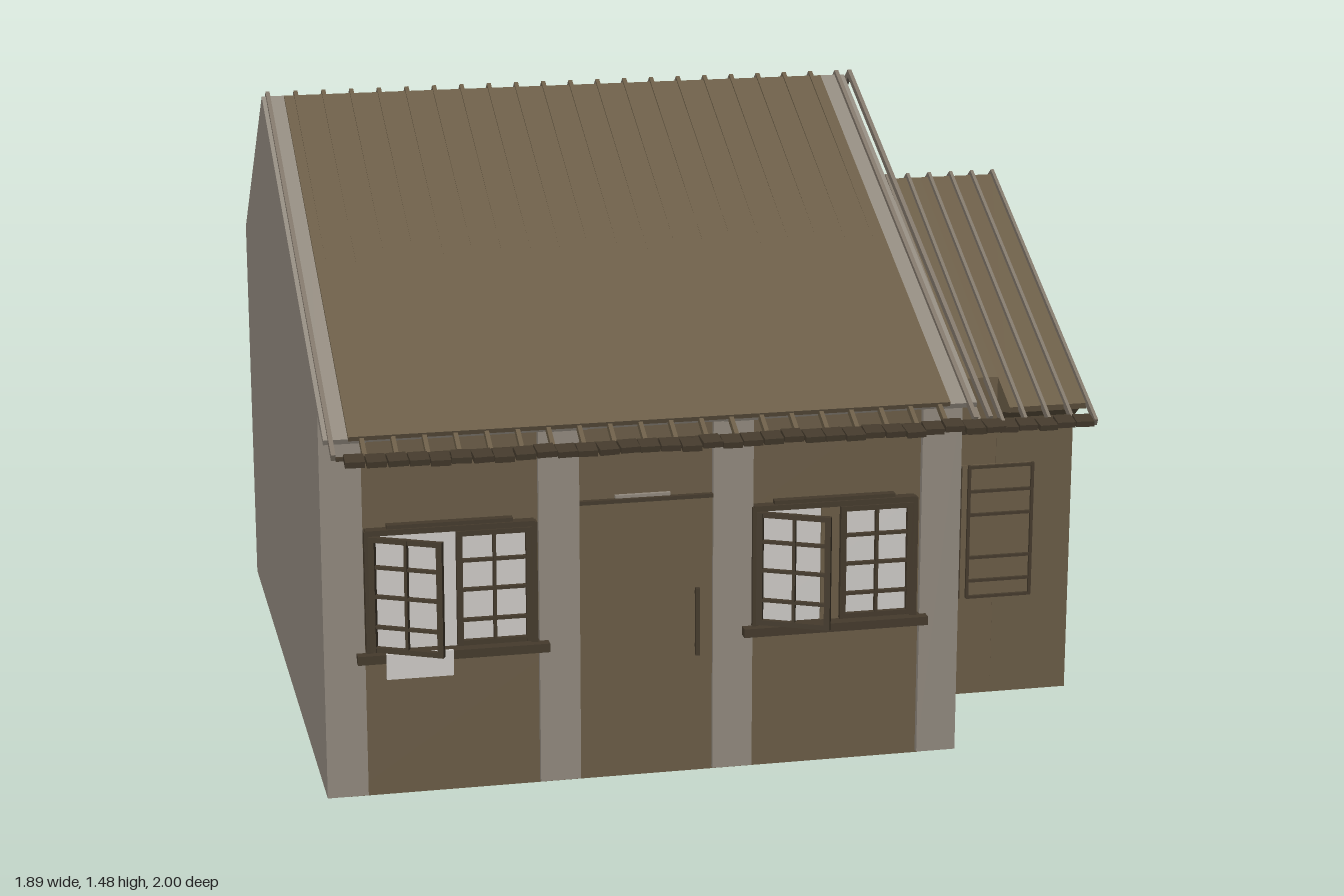
import * as THREE from 'three';

const mat = (name, color) => {
  const m = new THREE.MeshStandardMaterial({ color });
  m.name = name;
  return m;
};

export function createModel() {
  const plaster = mat('grey plaster', 0x928a7f);
  const brown = mat('brown wall', 0x6b5d47);
  const tan = mat('rafter tan', 0x81776a);
  const dark = mat('dark wood', 0x453b2d);
  const pale = mat('pale pane', 0xcfccc8);

  const house = new THREE.Group();
  house.name = 'house';

  let seed = 7;
  const rand = () => (seed = (seed * 16807) % 2147483647) / 2147483647;

  const add = (name, geo, material, parent = house) => {
    const mesh = new THREE.Mesh(geo, material);
    mesh.name = name;
    parent.add(mesh);
    return mesh;
  };
  // box given by its limits
  const box = (name, x0, x1, y0, y1, z0, z1, material, parent = house) => {
    const mesh = add(name, new THREE.BoxGeometry(x1 - x0, y1 - y0, z1 - z0), material, parent);
    mesh.position.set((x0 + x1) / 2, (y0 + y1) / 2, (z0 + z1) / 2);
    return mesh;
  };
  // (z, y) profile extruded along x
  const slice = (name, pts, x0, x1, material, parent = house) => {
    const shape = new THREE.Shape(pts.map(([z, y]) => new THREE.Vector2(-z, y)));
    const geo = new THREE.ExtrudeGeometry(shape, { depth: x1 - x0, bevelEnabled: false });
    geo.rotateY(Math.PI / 2).translate(x0, 0, 0);
    return add(name, geo, material, parent);
  };
  // sloping board whose top runs from (z0, y0) to (z1, y1)
  const slope = (name, x0, x1, [z0, y0], [z1, y1], t, material, parent = house) => {
    const dz = z1 - z0, dy = y1 - y0, a = -Math.atan2(dy, dz);
    const mesh = add(name, new THREE.BoxGeometry(x1 - x0, t, Math.hypot(dz, dy)), material, parent);
    mesh.rotation.x = a;
    mesh.position.set((x0 + x1) / 2, (y0 + y1) / 2 - Math.cos(a) * t / 2, (z0 + z1) / 2 - Math.sin(a) * t / 2);
    return mesh;
  };

  // base and main body
  box('base', -0.89, 0.49, 0, 0.03, -0.9, 0.7, brown);
  slice('mainWalls', [[-0.915, 0.02], [-0.915, 1.0], [-0.345, 1.45], [0.745, 0.955], [0.745, 0.02]],
    -0.9, 0.5, brown);

  // grey end walls and the two middle frames
  const frame = [[-0.93, 0.025], [-0.93, 1.005], [-0.345, 1.466], [0.87, 0.917],
    [0.865, 0.905], [0.76, 0.94], [0.76, 0.025]];
  [[-0.95, -0.855], [-0.45, -0.355], [-0.04, 0.055], [0.46, 0.555]].forEach(([a, b]) =>
    slice('wallFrame', frame, a, b, plaster));

  // main roof
  slope('frontRoof', -0.895, 0.49, [-0.335, 1.468], [0.875, 0.923], 0.012, brown);
  slope('eaveLining', -0.95, 0.555, [0.72, 0.982], [0.865, 0.916], 0.012, plaster);
  const rafters = new THREE.Group();
  rafters.name = 'rafters';
  house.add(rafters);
  for (let i = 0; i <= 22; i++) {
    const x = i < 22 ? -0.935 + 0.07 * i : 0.57;
    const end = x > -0.88 && x < 0.48;
    slope('frontRafter', x - 0.005, x + 0.005, [-0.345, 1.478], [0.93, end ? 0.893 : 0.9], 0.016,
      end ? brown : tan, rafters);
    slope('backRafter', x - 0.005, x + 0.005, [-1, 0.972], [-0.345, 1.478], 0.018, tan, rafters);
  }

  // row of eave tiles, slightly uneven
  const tiles = (x0, x1, y, z) => {
    for (let x = x0; x < x1 - 0.02; x += 0.047) {
      const dz = (rand() - 0.5) * 0.012, dy = (rand() - 0.5) * 0.006;
      const t = box('eaveTile', x, x + 0.044, y + dy, y + dy + 0.014, z + dz, z + dz + 0.045, dark);
      t.rotation.set(0.15, (rand() - 0.5) * 0.15, 0);
    }
  };
  tiles(-0.915, 0.58, 0.884, 0.945);
  box('eaveBatten', -0.93, 0.575, 0.886, 0.894, 0.925, 0.935, dark);

  // side annex; its outer half flares out under the eave
  const back = [[-0.87, 0.035], [-0.87, 0.775], [-0.275, 1.2]];
  slice('annexInner', [...back, [0.43, 0.85], [0.43, 0.035]], 0.54, 0.745, brown);
  slice('annexOuter', [...back, [0.53, 0.8], [0.525, 0.785], [0.48, 0.775], [0.447, 0.75],
    [0.432, 0.71], [0.43, 0.035]], 0.745, 0.94, brown);
  [0.6, 0.655, 0.712, 0.77, 0.828, 0.885, 0.941].forEach(x => {
    slope('annexFrontRafter', x - 0.004, x + 0.004, [-0.275, 1.213], [0.6, 0.778], 0.018, tan, rafters);
    slope('annexBackRafter', x - 0.004, x + 0.004, [-0.9, 0.766], [-0.275, 1.213], 0.018, tan, rafters);
  });
  tiles(0.565, 0.65, 0.77, 0.585);
  tiles(0.695, 0.92, 0.77, 0.585);

  // annex shutter with slats
  box('shutterPanel', 0.65, 0.84, 0.29, 0.63, 0.42, 0.434, brown);
  [0.65, 0.673, 0.834].forEach(x => box('shutterStile', x, x + 0.007, 0.29, 0.63, 0.43, 0.442, dark));
  [0.288, 0.33, 0.39, 0.5, 0.56, 0.622].forEach(y =>
    box('shutterSlat', 0.675, 0.84, y, y + 0.007, 0.43, 0.442, dark));

  // window sash, hinged on its left edge
  const sash = (x, w, angle) => {
    const g = new THREE.Group();
    g.name = 'windowSash';
    [0, w / 2 - 0.003, w - 0.014].forEach((v, i) =>
      box('upright', v, v + (i === 1 ? 0.007 : 0.014), 0.38, 0.655, -0.007, 0.007, dark, g));
    [0.38, 0.437, 0.51, 0.58, 0.643].forEach((y, i) =>
      box('crossbar', 0, w, y, y + (i % 4 ? 0.007 : 0.012), -0.006, 0.006, dark, g));
    g.position.set(x, 0, 0.768);
    g.rotation.y = -angle;
    house.add(g);
  };
  // windows with frame, sill and lintel
  [[-0.85, pale], [0.055, brown]].forEach(([x, mullion]) => {
    box('windowPane', x, x + 0.39, 0.375, 0.66, 0.742, 0.749, pale);
    box('mullion', x + 0.165, x + 0.21, 0.375, 0.66, 0.745, 0.754, mullion);
    box('windowJamb', x - 0.003, x + 0.012, 0.375, 0.665, 0.742, 0.77, dark);
    box('windowJamb', x + 0.38, x + 0.395, 0.375, 0.665, 0.742, 0.77, dark);
    box('windowHead', x, x + 0.39, 0.655, 0.668, 0.742, 0.77, dark);
    box('lintel', x + 0.05, x + 0.34, 0.668, 0.677, 0.742, 0.765, dark);
    box('sill', x - 0.025, x + 0.42, 0.353, 0.374, 0.742, 0.785, dark);
    sash(x + 0.008, 0.175, 0.46);
    sash(x + 0.207, 0.175, 0);
  });
  box('sillCloth', -0.81, -0.655, 0.315, 0.376, 0.78, 0.788, pale);

  // door
  box('door', -0.355, -0.04, 0.03, 0.695, 0.742, 0.75, brown);
  box('doorHead', -0.36, -0.04, 0.693, 0.702, 0.742, 0.758, dark);
  box('doorVent', -0.27, -0.14, 0.704, 0.711, 0.742, 0.755, plaster);
  box('doorHandle', -0.084, -0.074, 0.315, 0.48, 0.765, 0.775, dark);
  [0.33, 0.46].forEach(y => box('handlePost', -0.082, -0.076, y, y + 0.008, 0.745, 0.768, dark));

  return house;
}
